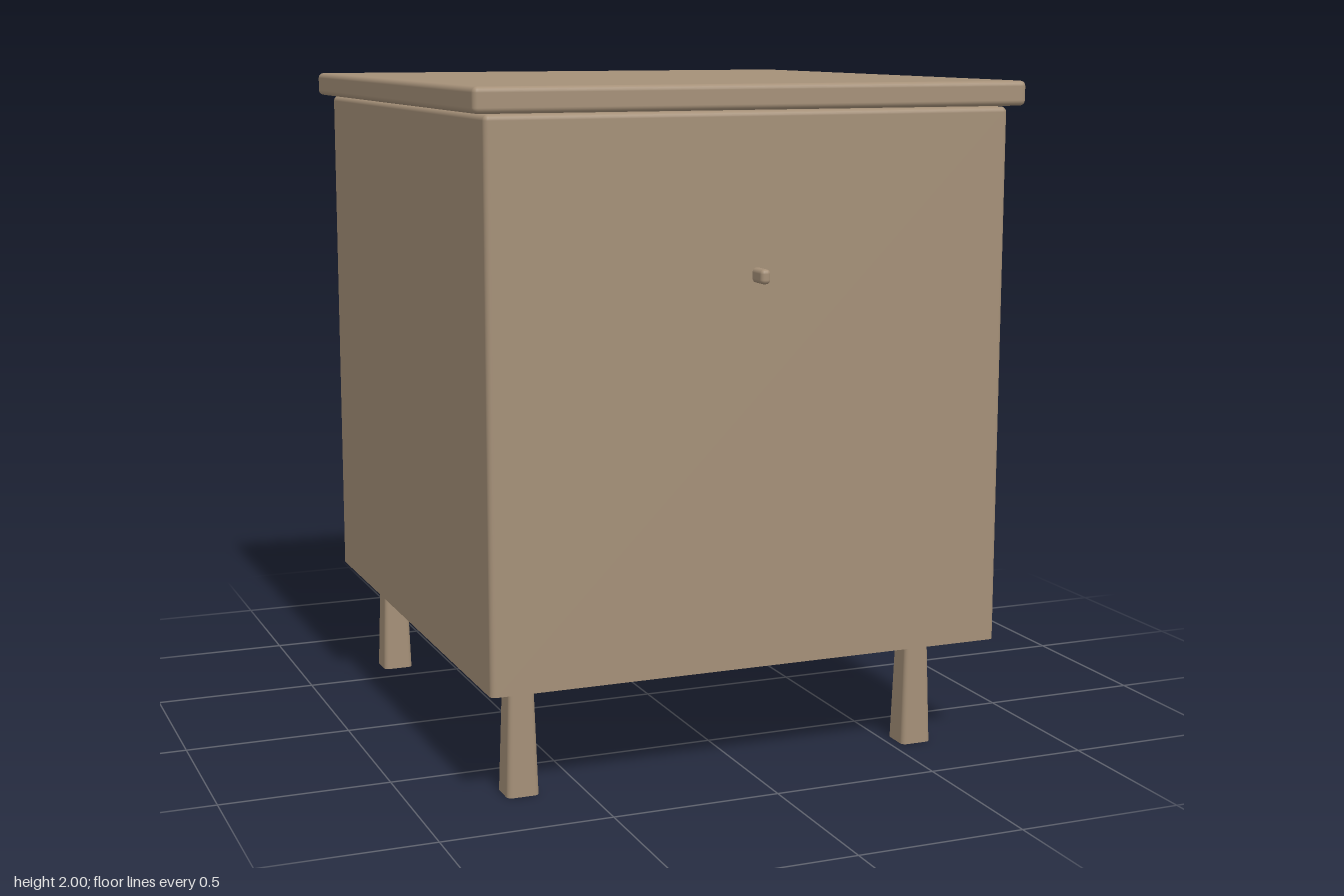
import * as THREE from 'three';
import { RoundedBoxGeometry } from 'three/addons/geometries/RoundedBoxGeometry.js';

const wood = new THREE.MeshStandardMaterial({ color: 0xa59078, side: THREE.DoubleSide });

// Rounded box with no floor: its lower rounded rim is cut away, leaving straight sides.
// The shell stands on y = 0 and is h high.
function openShell(w, h, d, r) {
  const box = new RoundedBoxGeometry(w, h + r, d, 3, r);
  box.translate(0, (h + r) / 2 - r, 0);
  const p = box.attributes.position, n = box.attributes.normal;
  const pos = [], nor = [];
  for (let i = 0; i < p.count; i += 3) {
    if (p.getY(i) + p.getY(i + 1) + p.getY(i + 2) < 1e-5) continue;
    for (let k = i; k < i + 3; k++) {
      pos.push(p.getX(k), p.getY(k), p.getZ(k));
      nor.push(n.getX(k), n.getY(k), n.getZ(k));
    }
  }
  const g = new THREE.BufferGeometry();
  g.setAttribute('position', new THREE.Float32BufferAttribute(pos, 3));
  g.setAttribute('normal', new THREE.Float32BufferAttribute(nor, 3));
  return g;
}

// Narrows a standing geometry towards its top
function taper(g, h, top) {
  const p = g.attributes.position;
  for (let i = 0; i < p.count; i++) {
    const s = 1 + (top - 1) * p.getY(i) / h;
    p.setX(i, p.getX(i) * s);
    p.setZ(i, p.getZ(i) * s);
  }
  return g;
}

export function createModel() {
  const group = new THREE.Group();
  const add = (name, geometry, x, y, z) => {
    const m = new THREE.Mesh(geometry, wood);
    m.name = name;
    m.position.set(x, y, z);
    group.add(m);
  };

  // Cabinet, open underneath
  add('cabinetBody', openShell(1.594, 1.6, 1.677, 0.016), 0, 0.325, -0.008);

  // Overhanging top board
  add('topBoard', new RoundedBoxGeometry(1.674, 0.072, 1.757, 3, 0.016), 0, 1.964, -0.012);

  // Small front knob
  add('knob', new RoundedBoxGeometry(0.03, 0.042, 0.08, 3, 0.0125), 0, 1.467, 0.853);

  // Tapered hollow legs
  const legHeight = 0.335;
  const leg = taper(openShell(0.096, legHeight, 0.096, 0.016), legHeight, 0.78);
  for (const [side, x] of [['Right', -0.68], ['Left', 0.58]]) {
    add('front' + side + 'Leg', leg, x, 0, 0.71);
    add('back' + side + 'Leg', leg, x, 0, -0.63);
  }
  return group;
}
